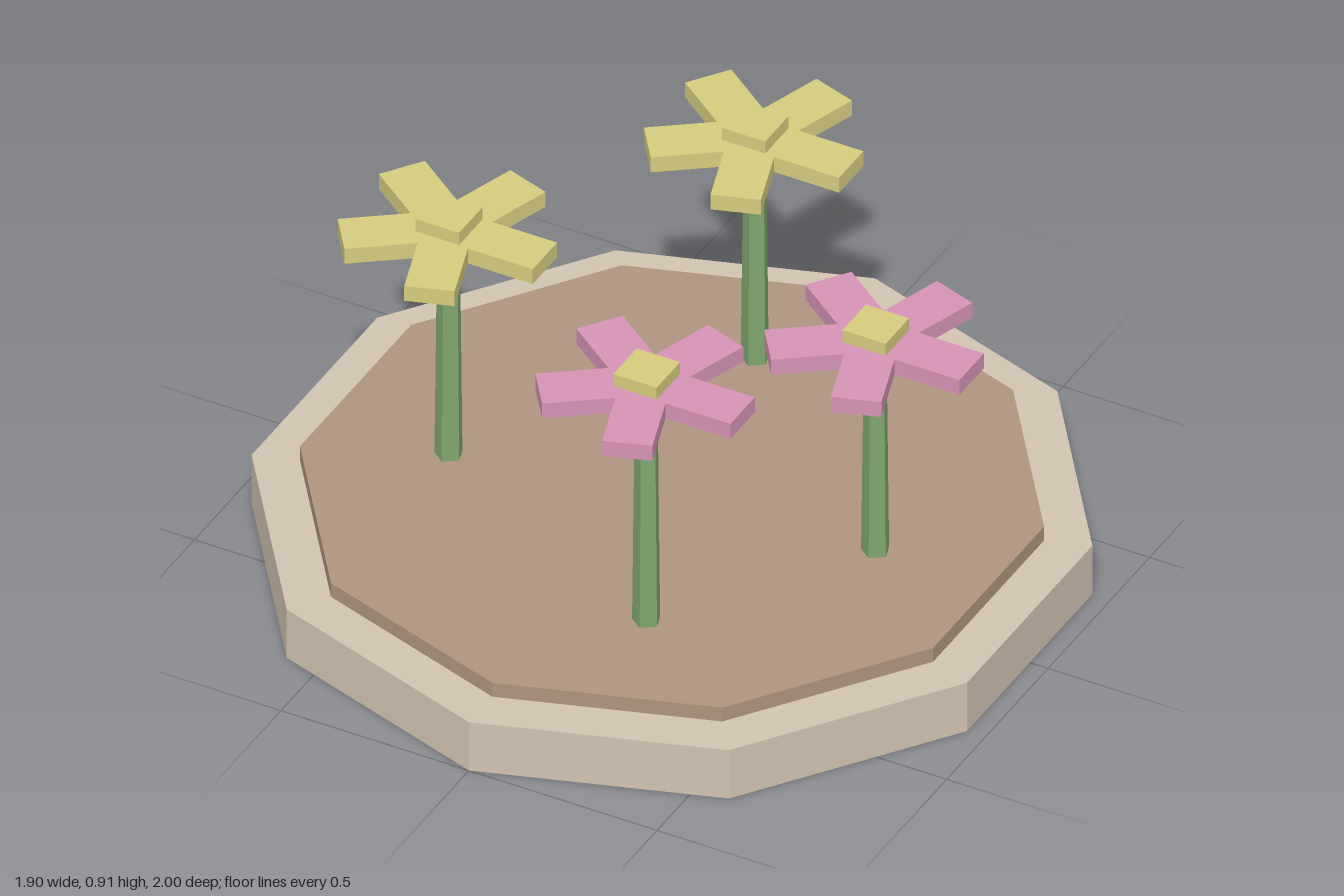
import * as THREE from 'three';

const mat = (color) => new THREE.MeshStandardMaterial({ color, flatShading: true });
const stone = mat(0xd2c3b0);
const soil = mat(0xae9580);
const green = mat(0x7fa56e);
const yellow = mat(0xd6cc7f);
const pink = mat(0xd692b6);

const PETALS = 5, REACH = 0.255, HALF_WIDTH = 0.06, THICK = 0.043;

function part(name, geometry, material, y) {
  const mesh = new THREE.Mesh(geometry, material);
  mesh.name = name;
  mesh.position.y = y;
  return mesh;
}

// Five straight, square-ended petals joined in one flat outline
function petalGeometry() {
  const step = (Math.PI * 2) / PETALS;
  const notch = HALF_WIDTH / Math.sin(step / 2);
  const points = [];
  for (let i = 0; i < PETALS; i++) {
    const a = i * step;
    const at = (x, y) => new THREE.Vector2(x, y).rotateAround(new THREE.Vector2(), a);
    points.push(
      at(REACH, -HALF_WIDTH),
      at(REACH, HALF_WIDTH),
      at(notch * Math.cos(step / 2), HALF_WIDTH)
    );
  }
  const geometry = new THREE.ExtrudeGeometry(new THREE.Shape(points), { depth: THICK, bevelEnabled: false });
  return geometry.rotateX(-Math.PI / 2);
}

// Stem, petals and square centre; height is the underside of the petals
function flower(name, x, z, height, material, petals) {
  const group = new THREE.Group();
  group.name = name;
  group.position.set(x, 0, z);
  const bottom = 0.16, top = height + 0.01;
  group.add(
    part('stem', new THREE.CylinderGeometry(0.028, 0.035, top - bottom, 5), green, (top + bottom) / 2),
    part('petals', petals, material, height),
    part('flowerCentre', new THREE.BoxGeometry(0.115, 0.06, 0.115), yellow, height + 0.048)
  );
  return group;
}

export function createModel() {
  const model = new THREE.Group();
  model.name = 'flowerBed';

  // Ten-sided border with a raised layer of soil
  model.add(
    part('border', new THREE.CylinderGeometry(1, 1, 0.14, 10), stone, 0.07),
    part('soil', new THREE.CylinderGeometry(0.885, 0.885, 0.08, 10), soil, 0.14)
  );

  const petals = petalGeometry();
  model.add(
    flower('leftYellowFlower', -0.52, 0.135, 0.8, yellow, petals),
    flower('backYellowFlower', -0.07, -0.54, 0.787, yellow, petals),
    flower('frontPinkFlower', 0.2, 0.495, 0.833, pink, petals),
    flower('sidePinkFlower', 0.54, -0.003, 0.758, pink, petals)
  );
  return model;
}
